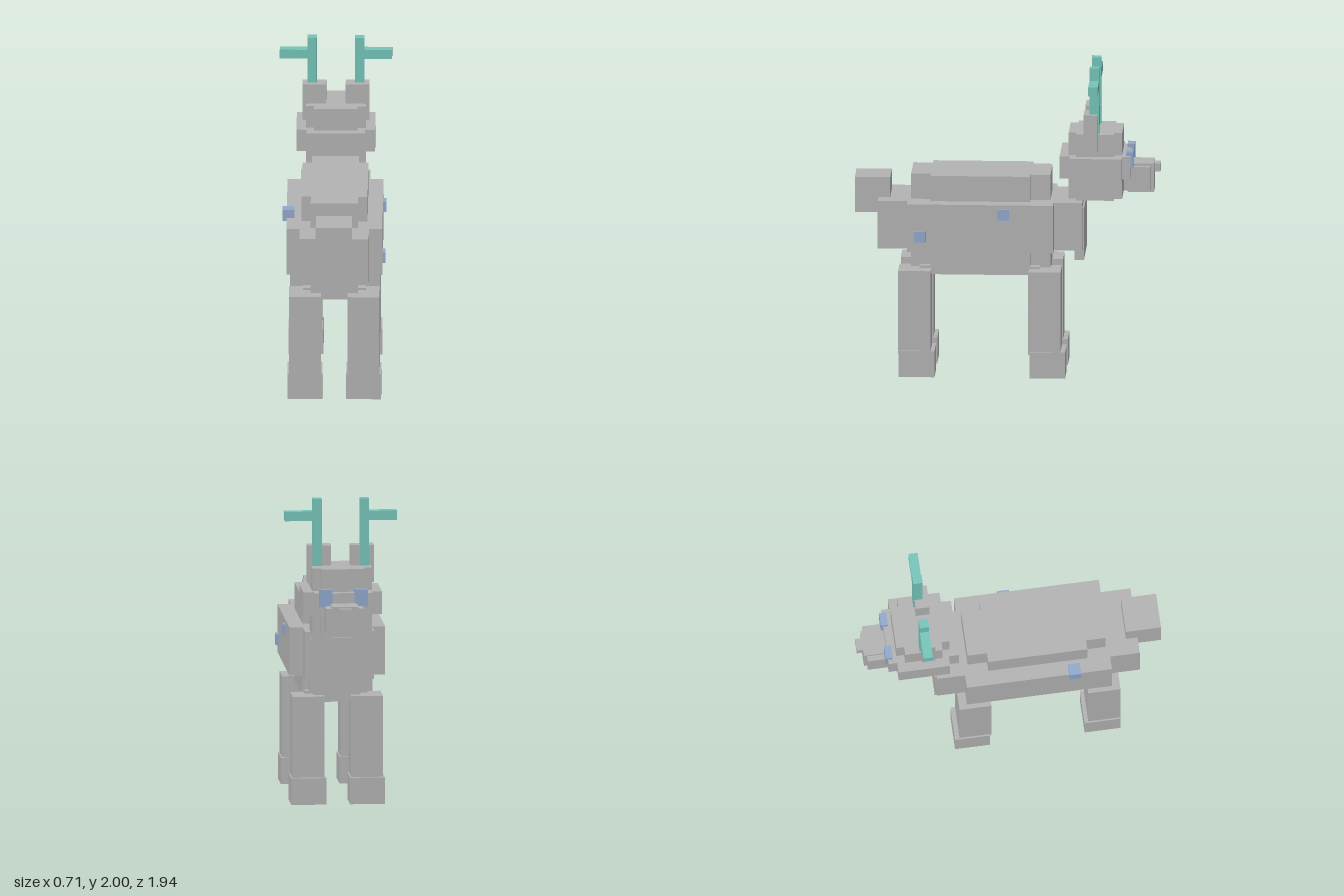
import * as THREE from 'three';

export function createModel() {
  const mat = (name, color) => {
    const m = new THREE.MeshStandardMaterial({ color });
    m.name = name;
    return m;
  };
  const grey = mat('grey coat', 0xb2b2b2);
  const teal = mat('teal antler', 0x74c4b8);
  const blue = mat('blue marking', 0x8fa8cc);

  const root = new THREE.Group();
  root.name = 'deer';
  const group = (name) => {
    const g = new THREE.Group();
    g.name = name;
    root.add(g);
    return g;
  };
  // box given by its [min, max] range on each axis
  const box = (parent, name, material, x, y, z) => {
    const mesh = new THREE.Mesh(
      new THREE.BoxGeometry(x[1] - x[0], y[1] - y[0], z[1] - z[0]), material);
    mesh.position.set((x[0] + x[1]) / 2, (y[0] + y[1]) / 2, (z[0] + z[1]) / 2);
    mesh.name = name;
    parent.add(mesh);
  };
  const wide = (w) => [-w, w];
  // range on the given side of x = 0
  const sided = (s, a, b) => (s > 0 ? [a, b] : [-b, -a]);

  // body: crossed blocks that step in at the corners
  const body = group('body');
  box(body, 'flanks', grey, wide(0.305), [0.82, 1.13], [-0.3, 0.63]);
  box(body, 'barrel', grey, wide(0.22), [0.82, 1.13], [-0.48, 0.82]);
  box(body, 'back', grey, wide(0.21), [0.66, 1.295], [-0.15, 0.485]);
  box(body, 'spine', grey, wide(0.15), [0.645, 1.295], [-0.275, 0.61]);
  box(body, 'belly', grey, wide(0.2), [0.65, 0.705], [-0.21, 0.555]);
  box(body, 'chest', grey, wide(0.19), [0.75, 1.09], [-0.49, -0.43]);
  box(body, 'tail', grey, wide(0.115), [1.03, 1.26], [0.745, 0.97]);

  // blue spots on the coat
  const spots = group('spots');
  box(spots, 'rearSpot', blue, [0.25, 0.325], [0.885, 0.955], [0.51, 0.585]);
  box(spots, 'shoulderSpot', blue, [0.25, 0.325], [1.035, 1.105], [-0.02, 0.055]);
  box(spots, 'hipSpot', blue, [-0.33, -0.255], [1.11, 1.185], [0.355, 0.43]);

  // head and snout
  const head = group('head');
  box(head, 'skullSides', grey, wide(0.19), [1.14, 1.57], [-0.68, -0.44]);
  box(head, 'skull', grey, wide(0.137), [1.14, 1.57], [-0.73, -0.39]);
  box(head, 'cheeks', grey, wide(0.25), [1.28, 1.425], [-0.73, -0.4]);
  box(head, 'brow', grey, wide(0.185), [1.28, 1.425], [-0.785, -0.335]);
  box(head, 'snout', grey, wide(0.12), [1.19, 1.345], [-0.91, -0.74]);
  box(head, 'muzzle', grey, wide(0.085), [1.175, 1.36], [-0.93, -0.765]);
  box(head, 'nose', grey, wide(0.04), [1.3, 1.35], [-0.97, -0.92]);

  for (const s of [1, -1]) {
    const side = s > 0 ? 'left' : 'right';
    box(head, side + 'Eye', blue, sided(s, 0.07, 0.155), [1.34, 1.45], [-0.8, -0.755]);
    box(head, side + 'Ear', grey, sided(s, 0.062, 0.212), [1.46, 1.7], [-0.578, -0.488]);

    // antlers
    const antler = group(side + 'Antler');
    box(antler, 'antlerStem', teal, sided(s, 0.122, 0.18), [1.56, 2], [-0.585, -0.525]);
    box(antler, 'antlerBranch', teal, sided(s, 0.18, 0.357), [1.86, 1.92], [-0.585, -0.525]);

    // legs with hooves
    for (const [end, legZ, hoofZ] of [
      ['Front', [-0.345, -0.14], [-0.375, -0.15]],
      ['Rear', [0.48, 0.687], [0.455, 0.684]],
    ]) {
      const leg = group(side + end + 'Leg');
      box(leg, 'leg', grey, sided(s, 0.085, 0.288), [0.15, 0.69], legZ);
      box(leg, 'hoof', grey, sided(s, 0.076, 0.298), [0, 0.17], hoofZ);
    }
  }
  return root;
}
